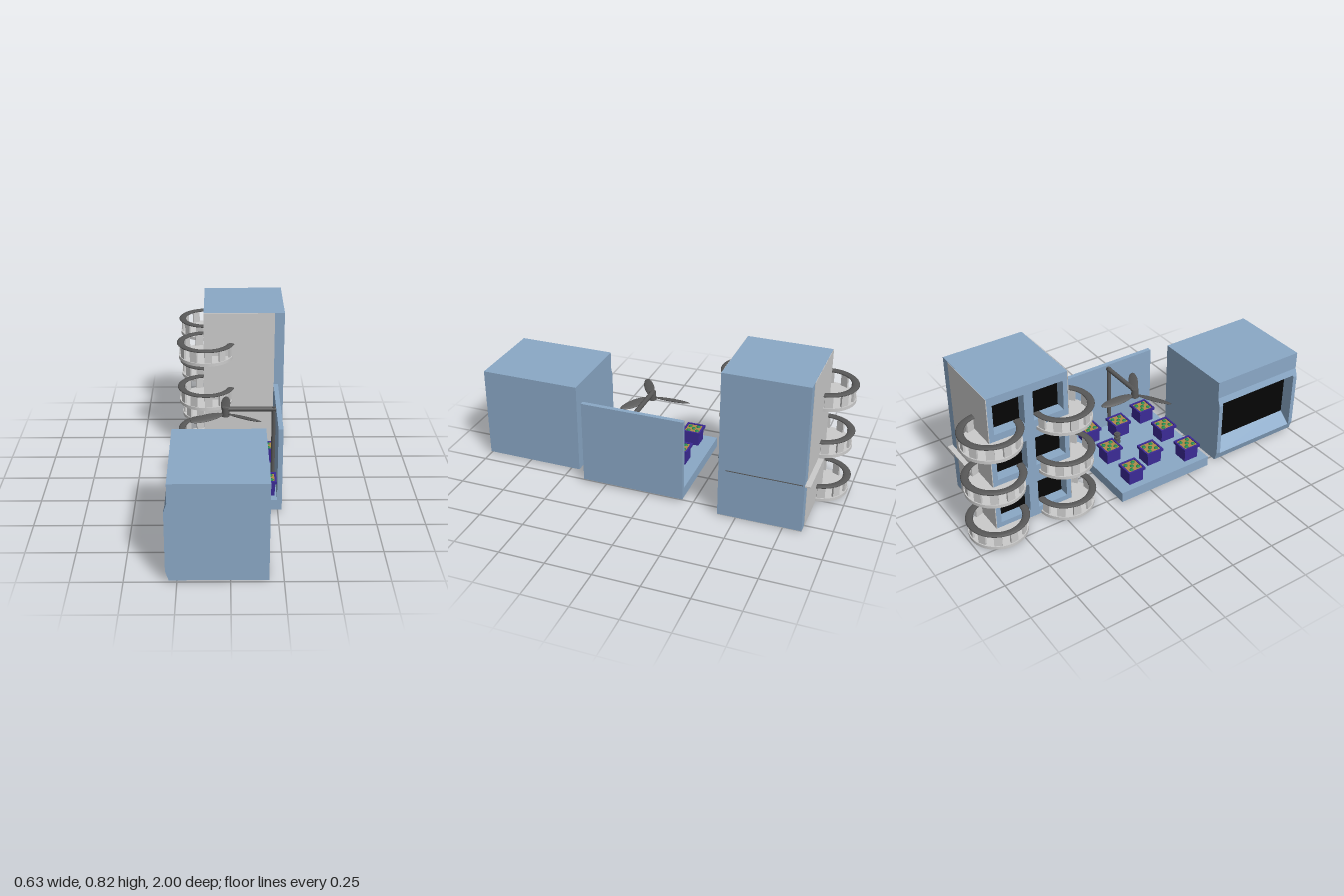
import * as THREE from 'three';

const mat = (color, opts = {}) => new THREE.MeshStandardMaterial({ color, ...opts });
const BLUE = mat(0x8aa8c6), GREY = mat(0xcccccc), DARK = mat(0x585858), BLACK = mat(0x050505);
const PURPLE = mat(0x3b2a96), SOIL = mat(0xb08a48), GREEN = mat(0x1f8a4c);

function add(parent, name, geometry, material) {
  const m = new THREE.Mesh(geometry, material);
  m.name = name;
  parent.add(m);
  return m;
}

// Box given by its minimum and maximum on each axis
function box(parent, name, material, x0, x1, y0, y1, z0, z1) {
  const m = add(parent, name, new THREE.BoxGeometry(x1 - x0, y1 - y0, z1 - z0), material);
  m.position.set((x0 + x1) / 2, (y0 + y1) / 2, (z0 + z1) / 2);
  return m;
}

function rod(parent, name, material, a, b, r) {
  const path = new THREE.LineCurve3(new THREE.Vector3(...a), new THREE.Vector3(...b));
  return add(parent, name, new THREE.TubeGeometry(path, 1, r, 12), material);
}

function rectPath(target, x0, x1, y0, y1) {
  target.moveTo(x0, y0); target.lineTo(x1, y0); target.lineTo(x1, y1); target.lineTo(x0, y1);
  target.closePath();
  return target;
}

// Front housing with a recessed screen facing -x
function createScreenUnit() {
  const g = new THREE.Group();
  g.name = 'screenUnit';
  box(g, 'housing', BLUE, -0.23, 0.18, 0.01, 0.52, 0.445, 1);
  box(g, 'screen', BLACK, -0.233, -0.228, 0.1, 0.41, 0.465, 0.98);
  const profile = (inner) => new THREE.Shape([
    [-0.23, 0.01], [-0.288, 0.01], [-0.304, 0.06], [-0.304, 0.375], [-0.288, 0.42], [-0.288, 0.52], [-0.23, 0.52],
  ].map(p => new THREE.Vector2(...p)));
  for (const z of [0.445, 0.975]) {
    const cheek = add(g, 'bezelSide', new THREE.ExtrudeGeometry(profile(), { depth: 0.025, bevelEnabled: false }), BLUE);
    cheek.position.z = z;
  }
  // Sloped bars above and below the screen
  const bars = [
    [[-0.23, 0.01], [-0.288, 0.01], [-0.3, 0.05], [-0.23, 0.11]],
    [[-0.23, 0.4], [-0.3, 0.385], [-0.288, 0.42], [-0.288, 0.52], [-0.23, 0.52]],
  ];
  for (const pts of bars) {
    const s = new THREE.Shape(pts.map(p => new THREE.Vector2(...p)));
    add(g, 'bezelBar', new THREE.ExtrudeGeometry(s, { depth: 0.51, bevelEnabled: false }), BLUE).position.z = 0.467;
  }
  return g;
}

// Square planter with a rim, soil and leaves
function createPlanter(x, z) {
  const g = new THREE.Group();
  g.name = 'planter';
  box(g, 'pot', PURPLE, -0.043, 0.043, 0, 0.072, -0.043, 0.043);
  for (const s of [-1, 1]) {
    box(g, 'rim', PURPLE, -0.052, 0.052, 0.07, 0.085, s * 0.047 - 0.005, s * 0.047 + 0.005);
    box(g, 'rim', PURPLE, s * 0.047 - 0.005, s * 0.047 + 0.005, 0.07, 0.085, -0.052, 0.052);
  }
  box(g, 'soil', SOIL, -0.042, 0.042, 0.07, 0.08, -0.042, 0.042);
  for (const [lx, lz] of [[-0.025, -0.02], [0.022, -0.026], [0.026, 0.022], [-0.02, 0.026], [0, 0]]) {
    const leaf = add(g, 'leaf', new THREE.SphereGeometry(0.012, 8, 6), GREEN);
    leaf.position.set(lx, 0.081, lz);
    leaf.scale.y = 0.6;
  }
  g.position.set(x, 0.075, z);
  return g;
}

// Planting tray with a side wall and a fan on an arm
function createGarden() {
  const g = new THREE.Group();
  g.name = 'garden';
  box(g, 'tray', BLUE, -0.315, 0.265, 0.017, 0.075, -0.195, 0.375);
  box(g, 'sideWall', BLUE, 0.245, 0.27, 0.017, 0.482, -0.195, 0.375);
  for (const z of [-0.08, 0.285]) for (const x of [-0.235, -0.02, 0.192]) g.add(createPlanter(x, z));
  for (const x of [-0.155, 0.155]) g.add(createPlanter(x, 0.095));

  const fan = new THREE.Group();
  fan.name = 'fan';
  rod(fan, 'post', DARK, [0.235, 0.075, 0.085], [0.235, 0.475, 0.085], 0.011);
  rod(fan, 'arm', DARK, [0.245, 0.46, 0.085], [-0.02, 0.46, 0.085], 0.013);
  const hub = add(fan, 'hub', new THREE.CylinderGeometry(0.018, 0.022, 0.05, 16), DARK);
  hub.position.set(-0.02, 0.445, 0.085);
  for (let i = 0; i < 3; i++) {
    const pivot = new THREE.Group();
    pivot.name = 'blade';
    pivot.position.set(-0.02, 0.435, 0.085);
    pivot.rotation.y = i * Math.PI * 2 / 3;
    const blade = add(pivot, 'bladeSurface', new THREE.SphereGeometry(1, 20, 10), DARK);
    blade.scale.set(0.027, 0.007, 0.1);
    blade.position.z = -0.115;
    blade.rotation.z = 0.3;
    fan.add(pivot);
  }
  g.add(fan);

  // Small valve standing between the planters
  rod(g, 'valveStem', DARK, [0.055, 0.075, 0.02], [0.055, 0.16, 0.02], 0.009);
  for (const y of [0.1, 0.125, 0.15]) {
    add(g, 'valveRing', new THREE.CylinderGeometry(0.018, 0.018, 0.009, 12), DARK).position.set(0.055, y, 0.02);
  }
  return g;
}

// Round balcony: three-quarter floor, upright slats and handrail; the open quarter meets the tower
function createBalcony(y, side) {
  const g = new THREE.Group();
  g.name = 'balcony';
  const start = Math.PI / 2, arc = Math.PI * 1.5;
  add(g, 'floor', new THREE.CylinderGeometry(0.155, 0.155, 0.018, 40), GREY).position.y = 0.009;
  const rail = add(g, 'handrail', new THREE.TorusGeometry(0.145, 0.02, 10, 48, arc), DARK);
  rail.rotation.set(-Math.PI / 2, 0, start);
  rail.scale.z = 0.35;
  rail.position.y = 0.089;
  for (let i = 0; i < 8; i++) {
    const a = start + arc * (i + 0.5) / 8;
    const slat = add(g, 'slat', new THREE.BoxGeometry(0.012, 0.075, 0.042), GREY);
    slat.position.set(Math.cos(a) * 0.143, 0.05, -Math.sin(a) * 0.143);
    slat.rotation.y = a;
  }
  // Turn the open quarter towards the inside of the tower
  g.rotation.y = side > 0 ? 0 : -Math.PI / 2;
  g.position.set(-0.13, y, side > 0 ? -0.435 : -0.835);
  return g;
}

// Tower with windows facing -x and six balconies
function createTower() {
  const g = new THREE.Group();
  g.name = 'tower';
  box(g, 'core', BLUE, -0.08, 0.313, 0.005, 0.822, -0.85, -0.402);
  const face = rectPath(new THREE.Shape(), -0.85, -0.402, 0.005, 0.822);
  for (const y of [0.055, 0.33, 0.605]) {
    for (const z of [-0.82, -0.6]) {
      face.holes.push(rectPath(new THREE.Path(), z, z + 0.17, y, y + 0.17));
      box(g, 'window', BLACK, -0.083, -0.079, y, y + 0.17, z, z + 0.17);
    }
  }
  const wall = add(g, 'windowWall', new THREE.ExtrudeGeometry(face, { depth: 0.061, bevelEnabled: false }), BLUE);
  wall.rotation.y = -Math.PI / 2;
  wall.position.x = -0.08;
  for (const z of [-0.85, -0.402]) box(g, 'sidePanel', GREY, -0.142, 0.258, 0.004, 0.821, z - 0.002, z + 0.002);
  box(g, 'basePlate', GREY, -0.142, 0.313, 0.002, 0.006, -0.85, -0.402);
  // Thin slats and the floor seam
  box(g, 'ledge', GREY, 0.03, 0.315, 0.27, 0.278, -0.88, -0.85);
  box(g, 'seam', DARK, 0.312, 0.315, 0.275, 0.279, -0.84, -0.44);
  box(g, 'bottomStrip', GREY, -0.1, 0.25, 0, 0.004, -0.47, -0.45);
  for (const y of [0.008, 0.277, 0.548]) for (const side of [-1, 1]) g.add(createBalcony(y, side));
  return g;
}

export function createModel() {
  const model = new THREE.Group();
  model.name = 'model';
  model.add(createScreenUnit(), createGarden(), createTower());
  return model;
}
